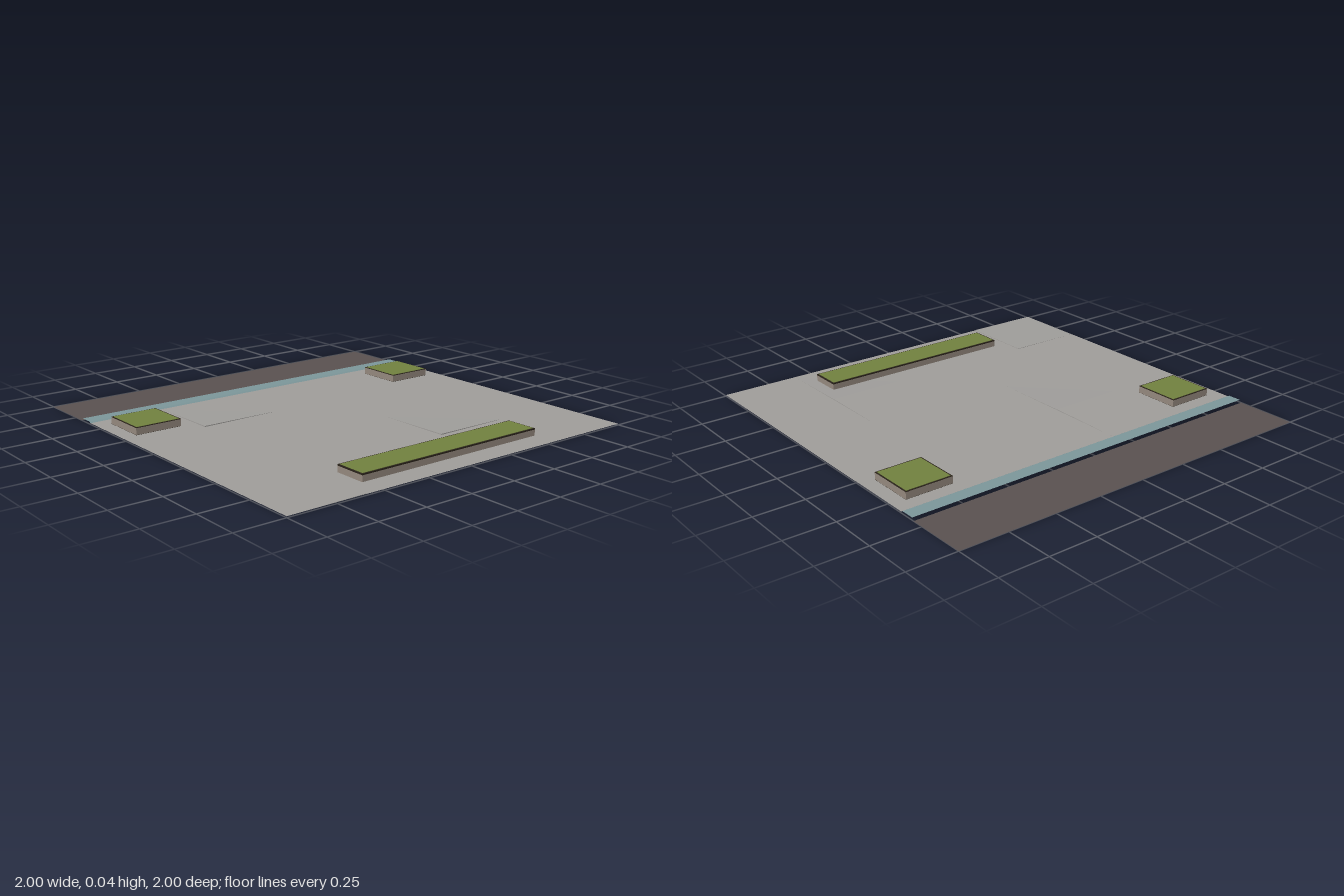
import * as THREE from 'three';

const mat = (name, color, side = THREE.DoubleSide) => {
  const m = new THREE.MeshStandardMaterial({ color, side, flatShading: true });
  m.name = name;
  return m;
};

// Flat-faced surface from quads, corners counter-clockwise seen from outside
function quadMesh(name, quads, material) {
  const pos = [];
  for (const [a, b, c, d] of quads) pos.push(...a, ...b, ...c, ...a, ...c, ...d);
  const g = new THREE.BufferGeometry();
  g.setAttribute('position', new THREE.Float32BufferAttribute(pos, 3));
  g.computeVertexNormals();
  const mesh = new THREE.Mesh(g, material);
  mesh.name = name;
  return mesh;
}

// Upward strip running the full depth, from (x0, y0) to (x1, y1)
const strip = (x0, y0, x1, y1) => [[x0, y0, 1], [x1, y1, 1], [x1, y1, -1], [x0, y0, -1]];

export function createModel() {
  const model = new THREE.Group();
  model.name = 'streetTile';
  const asphalt = mat('asphalt', 0x5a5251);
  const kerbStone = mat('kerb stone', 0x7d989b);
  const paving = mat('paving', 0xa09e9b);
  const concrete = mat('planter concrete', 0x95897e);
  const soil = mat('dark soil', 0x2a231a);
  const grass = mat('grass', 0x72823f);
  const GROUND = 0.006;

  // Road, then a narrow gap, then the kerb sloping down to the pavement
  model.add(quadMesh('road', [strip(-1, 0, -0.69, 0)], asphalt));
  model.add(quadMesh('kerb', [
    strip(-0.68, 0.012, -0.61, 0.012),
    strip(-0.61, 0.012, -0.6, GROUND),
  ], kerbStone));

  // Square paving slabs; a few have one lifted edge or corner (column,row: SW, SE, NE, NW)
  const lifts = {
    '2,1': [0, 0.005, 0.004, 0],
    '0,3': [0, 0.005, 0.004, 0],
    '1,3': [0, 0, 0, 0.003],
    '3,1': [0, 0, 0, 0.003],
    '3,4': [0, 0, 0.002, 0.002],
  };
  const slabs = [];
  for (let i = 0; i < 4; i++) {
    for (let j = 0; j < 5; j++) {
      const x = -0.6 + i * 0.4, z = -1 + j * 0.4;
      const lift = lifts[`${i},${j}`] || [0, 0, 0, 0];
      const base = [[x, z + 0.4], [x + 0.4, z + 0.4], [x + 0.4, z], [x, z]];
      const top = base.map(([px, pz], k) => [px, GROUND + lift[k], pz]);
      slabs.push(top);
      // Edges of lifted slabs reach down to the ground
      for (let k = 0; k < 4; k++) {
        const n = (k + 1) % 4;
        if (lift[k] + lift[n] === 0) continue;
        const low = (q) => [base[q][0], GROUND, base[q][1]];
        slabs.push([low(k), low(n), top[n], top[k]]);
      }
    }
  }
  model.add(quadMesh('pavement', slabs, paving));

  // Raised planting bed: concrete sides, dark rim, inset grass and optional dark base
  function planter(name, x0, x1, z0, z1, rim, hasBase) {
    const g = new THREE.Group();
    g.name = name;
    const w = x1 - x0, d = z1 - z0;
    const box = (part, bw, bd, y0, y1, m) => {
      const mesh = new THREE.Mesh(new THREE.BoxGeometry(bw, y1 - y0, bd), m);
      mesh.name = part;
      mesh.position.y = (y0 + y1) / 2;
      g.add(mesh);
    };
    box('planterWall', w, d, GROUND + 0.001, 0.043 - rim, concrete);
    box('planterRim', w, d, 0.043 - rim, 0.043, soil);
    box('grassTop', w - 0.014, d - 0.014, 0.042, 0.0445, grass);
    if (hasBase) box('planterBase', w, d, GROUND - 0.002, GROUND + 0.001, soil);
    g.position.set((x0 + x1) / 2, 0, (z0 + z1) / 2);
    model.add(g);
  }
  planter('backSquarePlanter', -0.525, -0.285, -0.925, -0.68, 0.002, true);
  planter('frontSquarePlanter', -0.525, -0.285, 0.68, 0.925, 0.002, true);
  planter('longPlanter', 0.717, 0.882, -0.533, 0.522, 0.006, false);

  return model;
}
